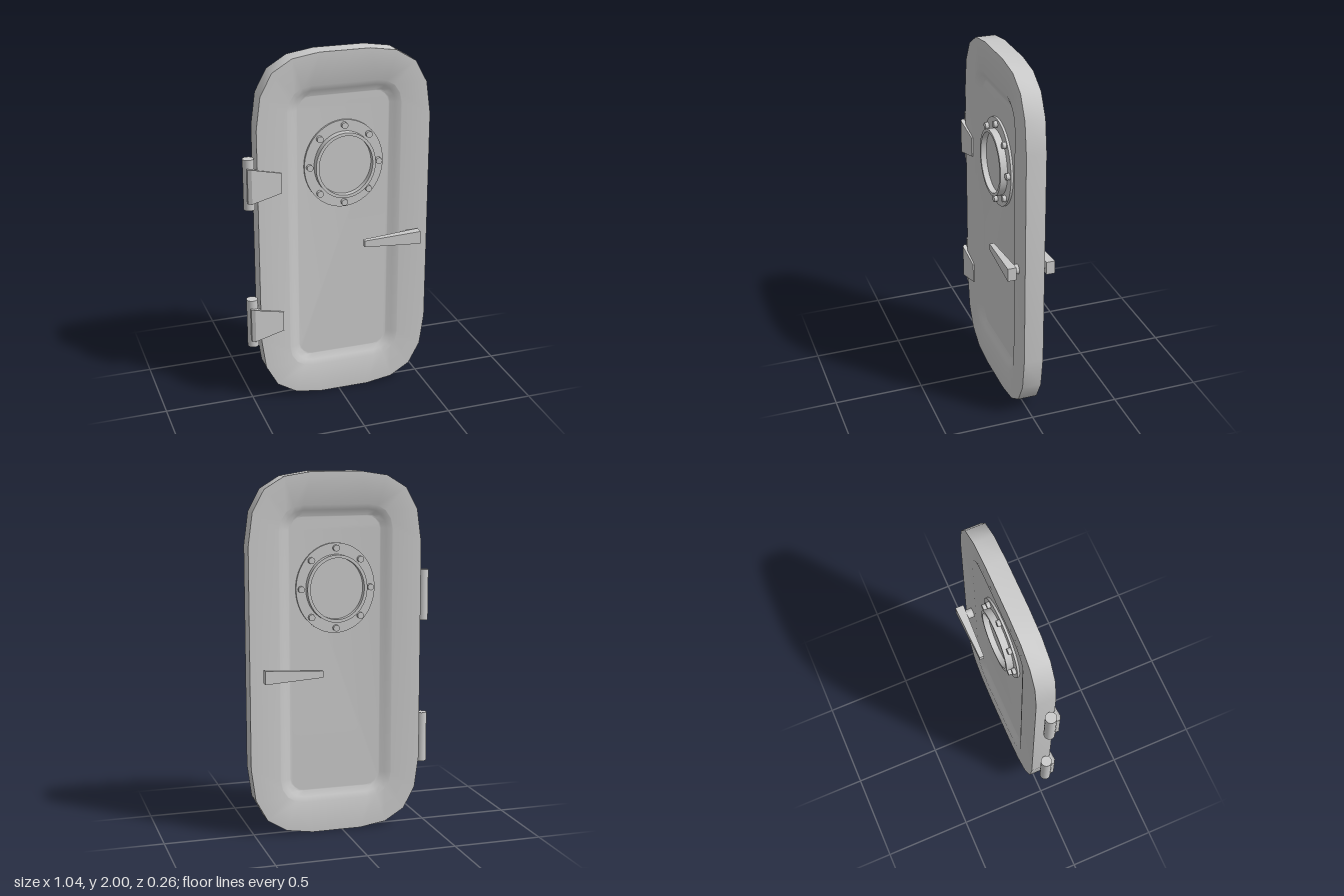
import * as THREE from 'three';
import { toCreasedNormals } from 'three/addons/utils/BufferGeometryUtils.js';

const CX = 0.033, CZ = 0.006; // door centre
const WINDOW_Y = 1.37;
const material = new THREE.MeshStandardMaterial({ color: 0xcccccc });

function part(name, geometry, x = 0, y = 0, z = 0) {
  const mesh = new THREE.Mesh(geometry, material);
  mesh.name = name;
  mesh.position.set(x, y, z);
  return mesh;
}

// Mirrors one corner (right side up to the top) into a closed counter-clockwise outline
function outline(corner) {
  const back = [...corner].reverse();
  return [
    ...corner,
    ...back.map(([x, y]) => [-x, y]),
    ...corner.map(([x, y]) => [-x, -y]),
    ...back.map(([x, y]) => [x, -y]),
  ];
}

function roundedCorner(w, h, r) {
  return [0, 1, 2, 3, 4].map((i) => {
    const a = (i / 4) * Math.PI / 2;
    return [w - r + r * Math.cos(a), h - r + r * Math.sin(a)];
  });
}

// Joins outlines of equal length, given from back to front, and caps both ends
function loft(rings, crease) {
  const n = rings[0].points.length;
  const pos = [];
  const index = [];
  rings.forEach(({ points, z }) => points.forEach(([x, y]) => pos.push(x, y, z)));
  for (let r = 0; r < rings.length - 1; r++) {
    for (let i = 0; i < n; i++) {
      const a = r * n + i, b = r * n + (i + 1) % n;
      index.push(a, b, b + n, a, b + n, a + n);
    }
  }
  const last = (rings.length - 1) * n;
  for (let i = 1; i < n - 1; i++) {
    index.push(0, i + 1, i, last, last + i, last + i + 1);
  }
  const g = new THREE.BufferGeometry();
  g.setAttribute('position', new THREE.Float32BufferAttribute(pos, 3));
  g.setIndex(index);
  return toCreasedNormals(g, crease);
}

// Door slab with a softly pressed panel on both faces
function doorGeometry() {
  const edge = outline([[0.4875, 0.61], [0.463, 0.79], [0.398, 0.91], [0.288, 0.977], [0.14, 1]]);
  const panel = (inset) => outline(roundedCorner(0.318 - inset, 0.825 - inset, 0.135 - inset));
  const face = [
    { points: edge, z: 0.054 },
    { points: panel(-0.004), z: 0.054 },
    { points: panel(0), z: 0.053 },
    { points: panel(0.03), z: 0.041 },
    { points: panel(0.056), z: 0.027 },
    { points: panel(0.062), z: 0.025 },
    { points: panel(0.067), z: 0.025 },
  ];
  const backFace = [...face].reverse().map(({ points, z }) => ({ points, z: -z }));
  return loft([...backFace, ...face], 0.7);
}

// Oval disc or ring, extruded evenly about z = 0
function oval(rx, ry, depth, holeX = 0, holeY = 0) {
  const shape = new THREE.Shape().absellipse(0, 0, rx, ry, 0, Math.PI * 2);
  if (holeX) shape.holes.push(new THREE.Path().absellipse(0, 0, holeX, holeY, 0, Math.PI * 2));
  const g = new THREE.ExtrudeGeometry(shape, { depth, bevelEnabled: false, curveSegments: 40 });
  return toCreasedNormals(g.translate(0, 0, -depth / 2), 0.6);
}

function createWindow() {
  const group = new THREE.Group();
  group.name = 'porthole';
  group.position.set(CX, WINDOW_Y, CZ);
  group.add(part('windowFlange', oval(0.223, 0.247, 0.076, 0.16, 0.178)));
  group.add(part('windowRim', oval(0.169, 0.185, 0.153, 0.152, 0.168)));
  group.add(part('windowPane', oval(0.155, 0.171, 0.09)));
  const bolt = new THREE.CylinderGeometry(0.018, 0.018, 0.116, 12).rotateX(Math.PI / 2);
  for (let i = 0; i < 8; i++) {
    const a = (i / 8) * Math.PI * 2;
    group.add(part('windowBolt', bolt, Math.cos(a) * 0.196, Math.sin(a) * 0.219));
  }
  return group;
}

// Tapered lever on each face, joined by one spindle
function createHandle() {
  const group = new THREE.Group();
  group.name = 'handle';
  group.position.set(0, 0.914, 0);
  const spindle = new THREE.CylinderGeometry(0.027, 0.027, 0.19, 20).rotateX(Math.PI / 2);
  group.add(part('handleSpindle', spindle, 0.407));
  const lever = new THREE.BoxGeometry(0.325, 1, 1, 1, 1, 1);
  const p = lever.attributes.position;
  for (let i = 0; i < p.count; i++) {
    const tip = p.getX(i) < 0;
    p.setY(i, p.getY(i) * (tip ? 0.037 : 0.074));
    p.setZ(i, p.getZ(i) * (tip ? 0.026 : 0.049));
  }
  lever.computeVertexNormals();
  const flat = toCreasedNormals(lever, 0.3);
  for (const side of [1, -1]) group.add(part('handleLever', flat, 0.2925, 0, side * 0.108));
  return group;
}

function createHinge(y) {
  const group = new THREE.Group();
  group.name = 'hinge';
  group.position.set(0, y, 0);
  group.add(part('hingeBarrel', new THREE.CylinderGeometry(0.031, 0.031, 0.285, 24), -0.493, 0, 0.021));
  // Leaf: chamfered at the barrel, narrowing toward the door
  const section = [[-0.51, 0.04], [-0.325, 0.05], [-0.325, 0.068], [-0.49, 0.077], [-0.51, 0.066]];
  const shape = new THREE.Shape(section.map(([x, z]) => new THREE.Vector2(x, -z)));
  const leaf = new THREE.ExtrudeGeometry(shape, { depth: 1, bevelEnabled: false });
  leaf.translate(0, 0, -0.5).rotateX(-Math.PI / 2);
  const p = leaf.attributes.position;
  for (let i = 0; i < p.count; i++) p.setY(i, p.getY(i) * (p.getX(i) > -0.4 ? 0.114 : 0.194));
  group.add(part('hingeLeaf', toCreasedNormals(leaf, 0.3)));
  return group;
}

export function createModel() {
  const model = new THREE.Group();
  model.name = 'door';
  model.add(part('doorPanel', doorGeometry(), CX, 1, CZ));
  model.add(createWindow(), createHandle());
  for (const y of [1.307, 0.488]) model.add(createHinge(y));
  return model;
}
